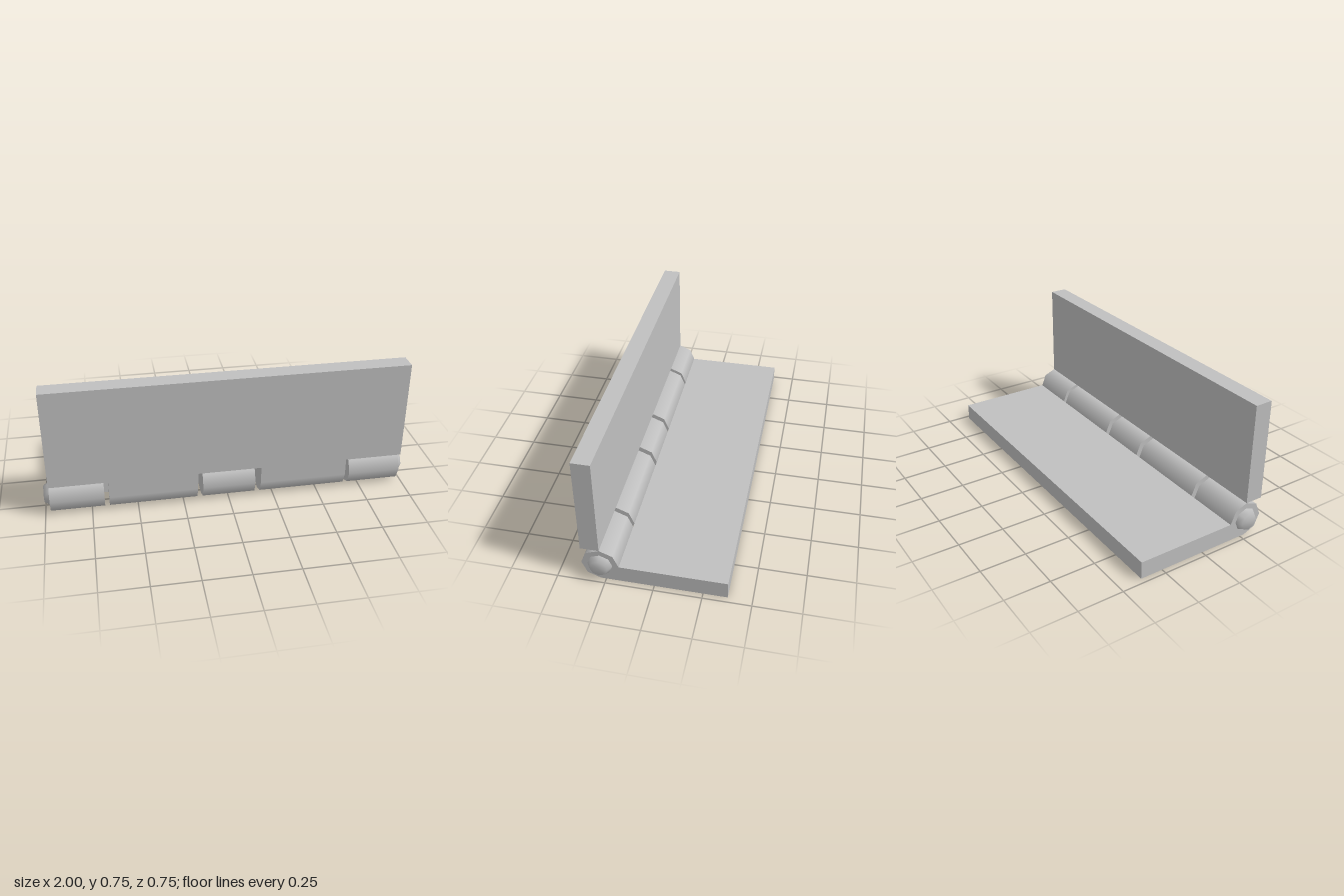
import * as THREE from 'three';

export function createModel() {
  const model = new THREE.Group();
  model.name = 'hinge';
  const steel = new THREE.MeshStandardMaterial({ color: 0xc0c0c0 });
  steel.name = 'grey steel';

  const T = 0.097;            // leaf thickness and knuckle radius
  const AXIS_Y = T, AXIS_Z = 0.278;
  const FRONT = AXIS_Z + T, BACK = -0.375, TOP = 0.75, HALF = 0.97;

  function add(parent, name, geometry) {
    const mesh = new THREE.Mesh(geometry, steel);
    mesh.name = name;
    parent.add(mesh);
    return mesh;
  }

  // Box given by its limits on each axis
  function block(parent, name, x0, x1, y0, y1, z0, z1) {
    const g = new THREE.BoxGeometry(x1 - x0, y1 - y0, z1 - z0);
    add(parent, name, g).position.set((x0 + x1) / 2, (y0 + y1) / 2, (z0 + z1) / 2);
  }

  // Eight-sided barrel lying along x on the hinge axis
  function knuckle(parent, x0, x1) {
    const g = new THREE.CylinderGeometry(T, T, x1 - x0, 8).rotateZ(Math.PI / 2);
    add(parent, 'knuckle', g).position.set((x0 + x1) / 2, AXIS_Y, AXIS_Z);
  }

  // Flat leaf with three knuckles, each joined by a web under the barrel
  const flatLeaf = new THREE.Group();
  flatLeaf.name = 'flatLeaf';
  model.add(flatLeaf);
  block(flatLeaf, 'flatPlate', -HALF, HALF, 0, T, BACK, AXIS_Z - T);
  for (const [a, b] of [[-HALF, -0.68], [-0.145, 0.145], [0.68, HALF]]) {
    knuckle(flatLeaf, a, b);
    block(flatLeaf, 'flatWeb', a, b, 0, T, AXIS_Z - T, AXIS_Z);
  }

  // Upright leaf with two knuckles, each joined by a web in front of the barrel
  const uprightLeaf = new THREE.Group();
  uprightLeaf.name = 'uprightLeaf';
  model.add(uprightLeaf);
  block(uprightLeaf, 'uprightPlate', -HALF, HALF, 2 * T, TOP, AXIS_Z, FRONT);
  for (const [a, b] of [[-0.655, -0.175], [0.175, 0.655]]) {
    knuckle(uprightLeaf, a, b);
    block(uprightLeaf, 'uprightWeb', a, b, AXIS_Y, 2 * T, AXIS_Z, FRONT);
  }

  // Domed pin heads at both ends
  const headProfile = [[0.065, 0], [0.047, 0.03], [0, 0.03]].map(([r, y]) => new THREE.Vector2(r, y));
  for (const side of [-1, 1]) {
    const g = new THREE.LatheGeometry(headProfile, 8).rotateZ(-side * Math.PI / 2);
    add(model, side > 0 ? 'leftPinHead' : 'rightPinHead', g).position.set(side * HALF, AXIS_Y, AXIS_Z);
  }

  return model;
}
